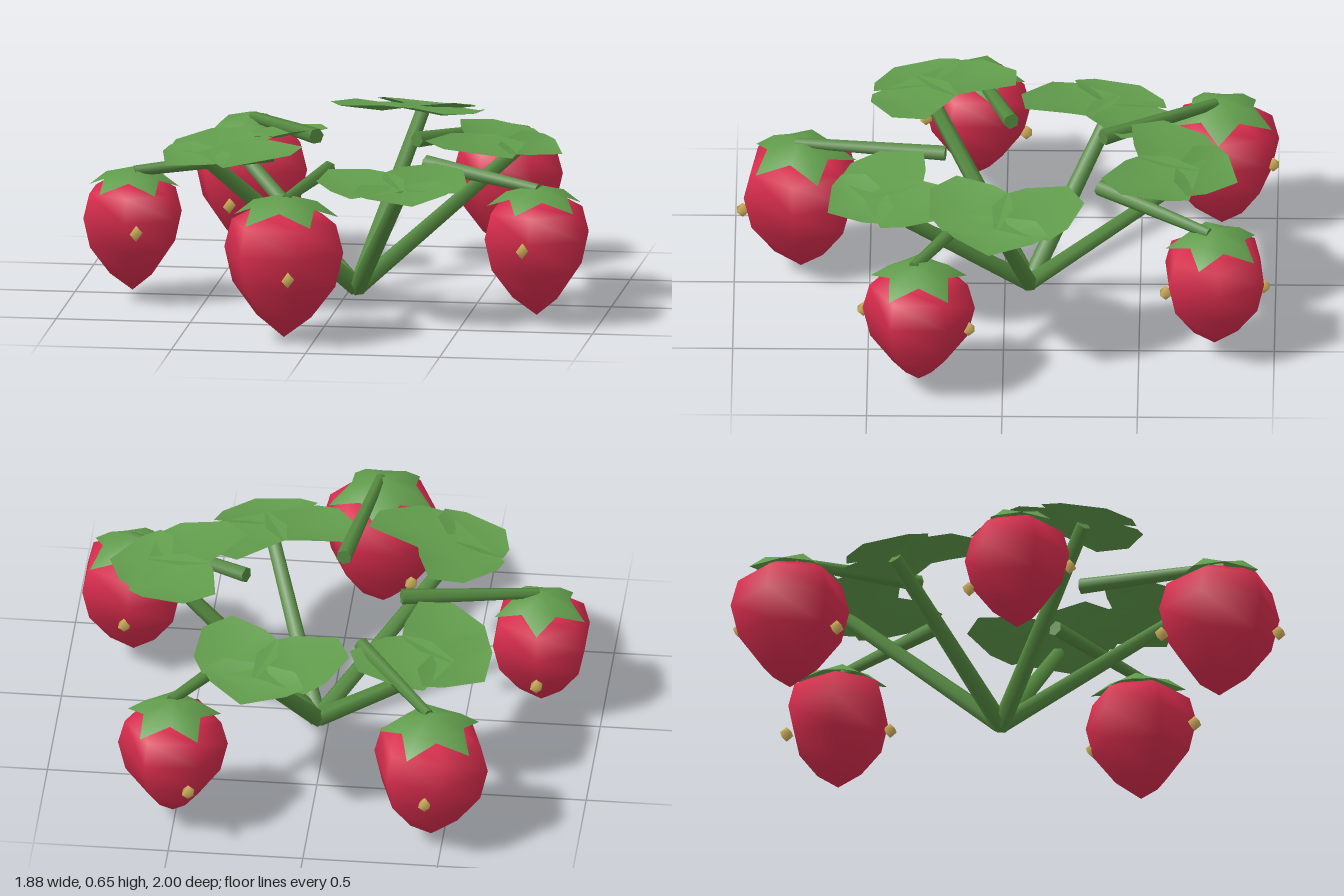
import * as THREE from 'three';

const mat = (name, color, side = THREE.FrontSide) => {
  const m = new THREE.MeshStandardMaterial({ color, side });
  m.name = name;
  return m;
};

// Surface from a list of points and triangles
function surface(points, faces) {
  const g = new THREE.BufferGeometry();
  g.setAttribute('position', new THREE.Float32BufferAttribute(points.flat(), 3));
  g.setIndex(faces.flat());
  g.computeVertexNormals();
  return g;
}

// Leaflet: a fan from a sunken heart to a closed rim, mirrored with s = -1
function blade(heart, rim, s = 1) {
  const pts = [heart, ...rim].map(([x, y, z]) => [x, y, z * s]);
  return surface(pts, rim.map((_, i) => {
    const a = 1 + i, b = 1 + (i + 1) % rim.length;
    return s > 0 ? [0, b, a] : [0, a, b];
  }));
}

// Five-pointed cap of sepals draped over the fruit's shoulders
function calyxGeometry() {
  const pts = [[0, 0.54, 0]];
  const faces = [];
  const polar = (r, y, a) => [Math.sin(a) * r, y, Math.cos(a) * r];
  for (let i = 0; i < 10; i++) pts.push(polar(0.125, i % 2 ? 0.489 : 0.508, i * Math.PI / 5));
  for (let i = 0; i < 5; i++) pts.push(polar(0.205, 0.445, i * Math.PI * 0.4));
  for (let i = 0; i < 10; i++) faces.push([0, 1 + i, 1 + (i + 1) % 10]);
  for (let i = 0; i < 5; i++) {
    const spine = 1 + i * 2, prev = 1 + (i * 2 + 9) % 10, next = 2 + i * 2, tip = 11 + i;
    faces.push([prev, tip, spine], [spine, tip, next]);
  }
  return surface(pts, faces);
}

// Tapered straight stalk between two points
function stalk(name, a, b, ra, rb, material) {
  const from = new THREE.Vector3(...a), to = new THREE.Vector3(...b);
  const dir = to.clone().sub(from);
  const mesh = new THREE.Mesh(new THREE.CylinderGeometry(rb, ra, dir.length(), 6), material);
  mesh.name = name;
  mesh.position.copy(from).add(to).multiplyScalar(0.5);
  mesh.quaternion.setFromUnitVectors(new THREE.Vector3(0, 1, 0), dir.normalize());
  return mesh;
}

export function createModel() {
  const root = new THREE.Group();
  root.name = 'berryPlant';
  const red = mat('berryRed', 0xd72c4c);
  const leafGreen = mat('leafGreen', 0x619c4c, THREE.DoubleSide);
  const stemGreen = mat('stemGreen', 0x558a40);
  const gold = mat('seedGold', 0xd2b25e);

  const add = (parent, name, geometry, material) => {
    const mesh = new THREE.Mesh(geometry, material);
    mesh.name = name;
    parent.add(mesh);
    return mesh;
  };

  // Leaves: three overlapping cupped leaflets, tilted down outwards, on a slanting stalk
  const endLeaf = blade([0.05, -0.025, 0], [
    [-0.06, 0.0, 0], [-0.03, 0.02, 0.14], [0.04, 0.01, 0.2], [0.1, 0.01, 0.15],
    [0.18, 0.0, 0], [0.1, 0.01, -0.15], [0.04, 0.01, -0.2], [-0.03, 0.02, -0.14]]);
  const sideHeart = [-0.1, -0.025, 0.12];
  const sideRim = [
    [0.03, 0.01, -0.01], [-0.1, 0.01, -0.04], [-0.2, 0.0, -0.01], [-0.24, 0.005, 0.06],
    [-0.29, -0.005, 0.21], [-0.19, 0.0, 0.29], [-0.02, 0.005, 0.26], [0.05, -0.005, 0.2]];
  const rightLeaf = blade(sideHeart, sideRim), leftLeaf = blade(sideHeart, sideRim, -1);
  const crown = [0.04, 0.02, -0.09];
  const leaves = [
    [0.20, 0.59, -0.69], [0.65, 0.60, 0.02], [0.28, 0.51, 0.487],
    [-0.465, 0.59, 0.307], [-0.47, 0.51, -0.40]];
  for (const [x, y, z] of leaves) {
    root.add(stalk('leafStalk', crown, [x, y - 0.02, z], 0.034, 0.027, stemGreen));
    const leaf = new THREE.Group();
    leaf.name = 'leaf';
    leaf.position.set(x, y, z);
    leaf.rotation.set(0, Math.atan2(-(z - crown[2]), x - crown[0]), -0.14);
    add(leaf, 'endLeaflet', endLeaf, leafGreen);
    add(leaf, 'rightLeaflet', rightLeaf, leafGreen);
    add(leaf, 'leftLeaflet', leftLeaf, leafGreen);
    root.add(leaf);
  }

  // Berries: six-sided pointed body, calyx, stalk and two seeds
  const profile = [[0, 0], [0.105, 0.08], [0.197, 0.2], [0.228, 0.33], [0.2, 0.435], [0.13, 0.475], [0, 0.485]]
    .map(([r, y]) => new THREE.Vector2(r, y));
  const body = new THREE.LatheGeometry(profile, 6);
  const calyx = calyxGeometry();
  const seed = new THREE.SphereGeometry(0.03, 4, 2).rotateY(Math.PI / 4);
  const berries = [
    { at: [-0.115, 0.002, 0.755], s: 1, turn: 1.44, star: Math.PI, from: [-0.025, 0.53, 0.22],
      seeds: [[-0.24, 0.21, 0.56], [-0.07, 0.26, 0.97]] },
    { at: [0.765, 0.02, 0.31], s: 0.91, turn: 0, star: 0.95, from: [0.32, 0.53, 0.065],
      seeds: [[0.74, 0.30, 0.515], [0.78, 0.24, 0.125]] },
    { at: [0.505, 0.033, -0.78], s: 0.89, turn: 1.65, star: 0, from: [0.225, 0.53, -0.35],
      seeds: [[0.43, 0.23, -0.96], [0.59, 0.29, -0.60]] },
    { at: [-0.455, 0.002, -0.795], s: 0.97, turn: 0.3, star: 1.52, from: [-0.15, 0.53, -0.36],
      seeds: [[-0.45, 0.25, -0.985], [-0.51, 0.205, -0.61]] },
    { at: [-0.77, 0.03, 0.11], s: 0.86, turn: 0, star: Math.PI, from: [-0.265, 0.53, -0.02],
      seeds: [[-0.77, 0.2, -0.07], [-0.73, 0.28, 0.3]] }];
  for (const { at, s, turn, star, from, seeds } of berries) {
    const berry = new THREE.Group();
    berry.name = 'berry';
    berry.position.set(...at);
    berry.scale.setScalar(s);
    add(berry, 'berryBody', body, red).rotation.y = turn;
    add(berry, 'calyx', calyx, leafGreen).rotation.y = star;
    root.add(berry);
    root.add(stalk('berryStalk', from, [at[0] + 0.01, at[1] + 0.525 * s, at[2] + 0.02], 0.03, 0.02, stemGreen));
    for (const p of seeds) add(root, 'seed', seed, gold).position.set(...p);
  }
  return root;
}
